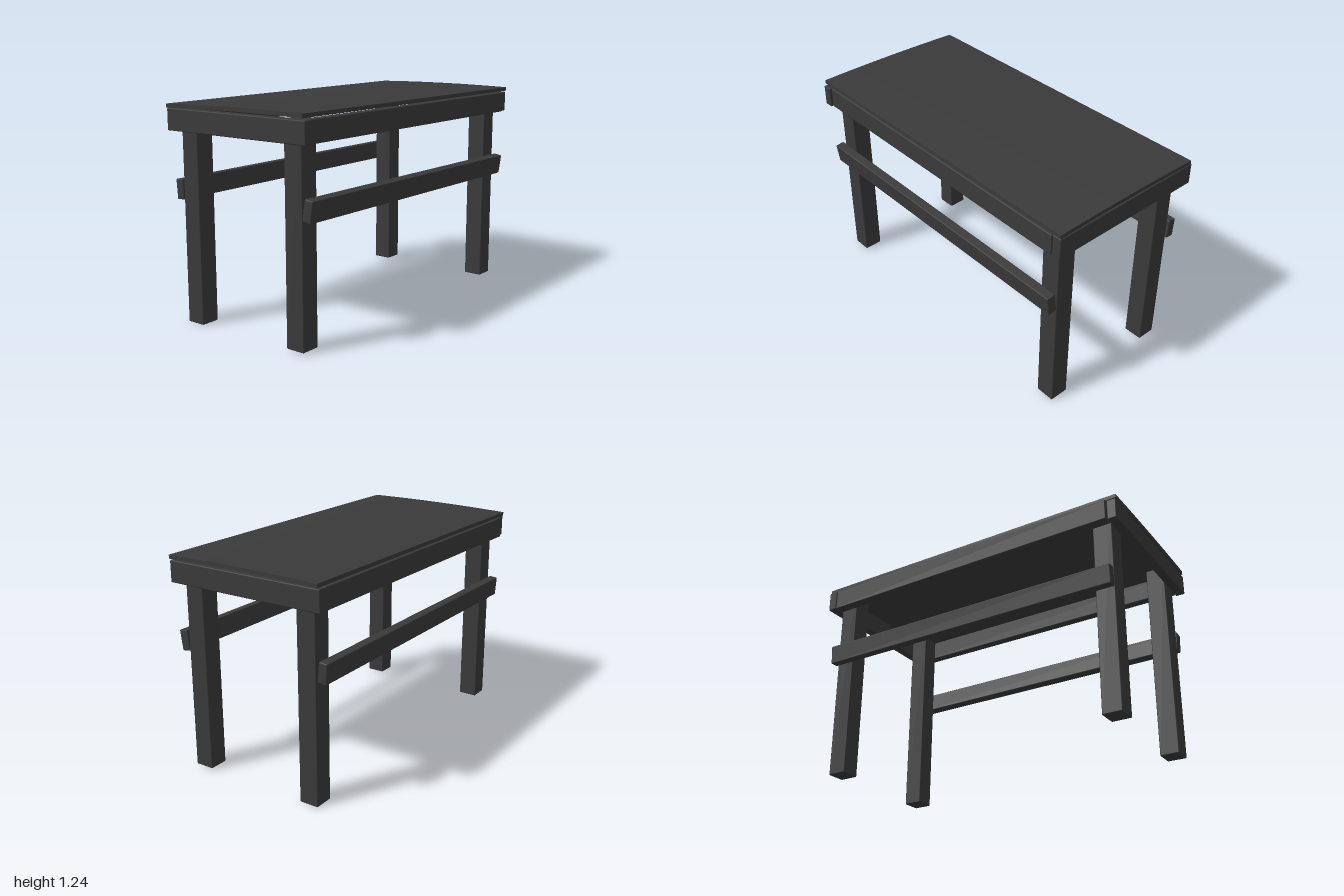
import * as THREE from 'three';
import { RoundedBoxGeometry } from 'three/addons/geometries/RoundedBoxGeometry.js';

const wood = new THREE.MeshStandardMaterial({ color: 0x3a3a3a });

// A slightly eased timber of size [w, h, d], centred at [x, y, z]
function timber(name, size, pos, rot = [0, 0, 0]) {
  const mesh = new THREE.Mesh(new RoundedBoxGeometry(...size, 2, 0.006), wood);
  mesh.name = name;
  mesh.position.set(...pos);
  mesh.rotation.set(...rot);
  return mesh;
}

// Thin board, bowed across its depth and a little twisted
function tableTop() {
  const geo = new THREE.BoxGeometry(2, 0.022, 0.96, 8, 1, 12);
  const p = geo.attributes.position;
  for (let i = 0; i < p.count; i++) {
    const x = p.getX(i), z = p.getZ(i) / 0.48;
    p.setY(i, p.getY(i) + 0.007 * (1 - z * z) + 0.003 * z - 0.002 * x * z);
  }
  geo.computeVertexNormals();
  const mesh = new THREE.Mesh(geo, wood);
  mesh.name = 'tableTop';
  mesh.position.set(0, 1.221, 0);
  return mesh;
}

export function createModel() {
  const table = new THREE.Group();
  table.name = 'table';
  table.add(tableTop());

  // Four square legs, running up inside the aprons
  for (const x of [-1, 1]) {
    for (const z of [-1, 1]) {
      const foot = z > 0 ? 0.01 : 0.002;
      const name = (z > 0 ? 'front' : 'back') + (x > 0 ? 'Left' : 'Right') + 'Leg';
      table.add(timber(name, [0.114, 1.2 - foot, 0.114], [x * 0.887, (1.2 + foot) / 2, z * 0.367]));
    }
  }

  // Aprons: long boards between two end boards
  table.add(
    timber('frontApron', [1.886, 0.122, 0.055], [0, 1.143, 0.455], [0, -0.003, 0]),
    timber('backApron', [1.886, 0.122, 0.06], [0, 1.143, -0.463], [0, -0.003, 0]),
    timber('leftApron', [0.055, 0.122, 0.972], [0.971, 1.144, -0.008]),
    timber('rightApron', [0.055, 0.122, 0.972], [-0.971, 1.144, 0.008]),
  );

  // Long rails fixed outside the legs, leaning out at the top
  table.add(
    timber('frontRail', [1.89, 0.118, 0.054], [0, 0.748, 0.459], [0.14, 0, -0.003]),
    timber('backRail', [1.89, 0.114, 0.052], [0, 0.756, -0.461], [-0.07, 0.004, 0.002]),
  );
  return table;
}
